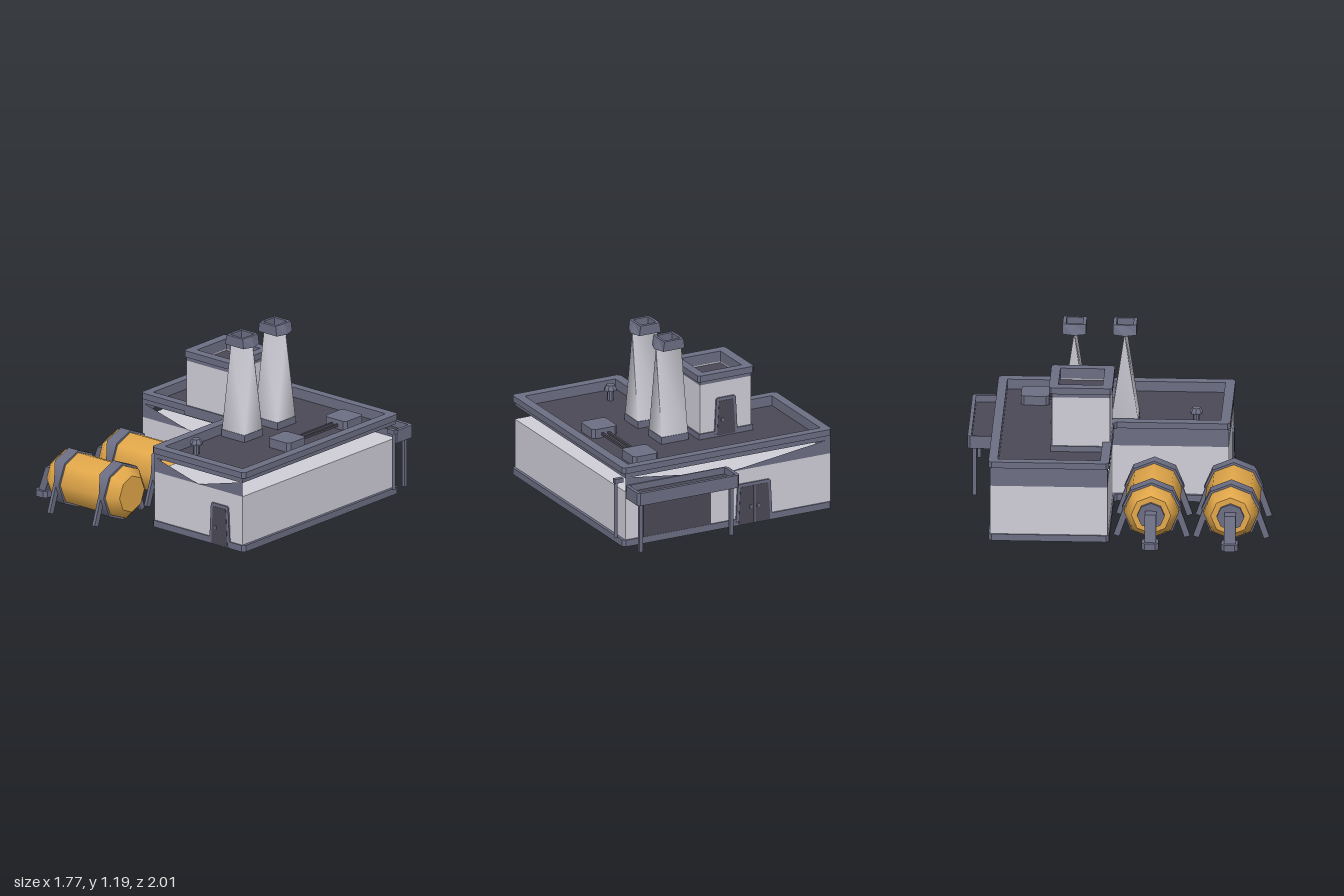
import * as THREE from 'three';

const mat = (name, color) => {
  const m = new THREE.MeshStandardMaterial({ color });
  m.name = name;
  return m;
};

export function createModel() {
  const root = new THREE.Group();
  const wallMat = mat('light wall', 0xcfced8);
  const trimMat = mat('slate trim', 0x6c6e84);
  const darkMat = mat('dark roof', 0x4a4955);
  const tankMat = mat('tank yellow', 0xe3a84a);

  const add = (name, geo, material, parent = root) => {
    const m = new THREE.Mesh(geo, material);
    m.name = name;
    parent.add(m);
    return m;
  };
  const box = (name, x0, x1, y0, y1, z0, z1, material, parent = root) => {
    const m = add(name, new THREE.BoxGeometry(x1 - x0, y1 - y0, z1 - z0), material, parent);
    m.position.set((x0 + x1) / 2, (y0 + y1) / 2, (z0 + z1) / 2);
    return m;
  };
  // Cut each corner of an outline by distance c
  const chamfer = (pts, c) => pts.flatMap((p, i) => {
    const toward = (q) => {
      const d = Math.hypot(q[0] - p[0], q[1] - p[1]);
      return [p[0] + (q[0] - p[0]) * c / d, p[1] + (q[1] - p[1]) * c / d];
    };
    return [toward(pts.at(i - 1)), toward(pts[(i + 1) % pts.length])];
  });
  const vecs = (pts) => pts.map(([x, z]) => new THREE.Vector2(x, -z)).reverse();
  // Horizontal slab from an x,z outline, with an optional hole
  const slab = (name, pts, y0, y1, material, hole, parent = root) => {
    const s = new THREE.Shape(vecs(pts));
    if (hole) s.holes.push(new THREE.Path(vecs(hole)));
    const g = new THREE.ExtrudeGeometry(s, { depth: y1 - y0, bevelEnabled: false });
    g.rotateX(-Math.PI / 2).translate(0, y0, 0);
    return add(name, g, material, parent);
  };
  const rect = (x0, x1, z0, z1) => [[x0, z0], [x1, z0], [x1, z1], [x0, z1]];
  const ell = (x0, x1, x2, z0, z1, z2) => [[x0, z0], [x2, z0], [x2, z2], [x1, z2], [x1, z1], [x0, z1]];
  // Single-sided flat polygon
  const face = (name, ...p) => {
    const tris = [];
    for (let i = 1; i < p.length - 1; i++) tris.push(...p[0], ...p[i], ...p[i + 1]);
    const g = new THREE.BufferGeometry();
    g.setAttribute('position', new THREE.Float32BufferAttribute(tris, 3));
    g.computeVertexNormals();
    add(name, g, trimMat);
  };
  // Stack of equal-length rings joined with quads
  const loft = (rings, flat) => {
    const n = rings[0].length, idx = [];
    for (let r = 0; r < rings.length - 1; r++) for (let i = 0; i < n; i++) {
      const a = r * n + i, b = r * n + (i + 1) % n;
      idx.push(a, b, a + n, b, b + n, a + n);
    }
    let g = new THREE.BufferGeometry();
    g.setAttribute('position', new THREE.Float32BufferAttribute(rings.flat(2), 3));
    g.setIndex(idx);
    if (flat) g = g.toNonIndexed();
    g.computeVertexNormals();
    return g;
  };

  // L-shaped building with a sunken roof
  const outer = chamfer(ell(-0.7, 0.05, 0.85, -0.83, -0.04, 0.72), 0.02);
  const walls = ell(-0.69, 0.07, 0.83, -0.82, -0.05, 0.71);
  const inner = ell(-0.64, 0.115, 0.785, -0.77, -0.1, 0.655);
  slab('base', outer, 0, 0.045, trimMat);
  slab('walls', walls, 0.045, 0.38, wallMat);
  slab('parapet', walls, 0.475, 0.51, trimMat, inner);
  slab('roofSurface', inner, 0.475, 0.482, darkMat);
  slab('roofTrim', outer, 0.508, 0.55, trimMat, inner);

  // Partly open band between walls and roof
  const lo = 0.38, hi = 0.48;
  face('frontBandRight', [0.07, lo, 0.71], [0.45, lo, 0.71], [0.07, hi, 0.71]);
  face('frontBandLeft', [0.45, lo, 0.71], [0.83, lo, 0.71], [0.83, hi, 0.71]);
  face('wingBand', [-0.69, lo, -0.05], [-0.3, lo, -0.05], [-0.69, hi, -0.05]);
  face('courtBand', [0.07, lo, -0.05], [0.07, lo, 0.71], [0.07, hi, 0.71], [0.07, hi, -0.05]);
  face('backBandLeft', [0.83, lo, -0.82], [0.07, lo, -0.82], [0.83, hi, -0.82]);
  face('backBandRight', [0.07, lo, -0.82], [-0.69, lo, -0.82], [-0.69, hi, -0.82]);
  face('sideBand', [-0.69, lo, -0.82], [-0.69, lo, -0.05], [-0.69, hi, -0.05], [-0.69, hi, -0.82]);
  face('sideBandInner', [-0.69, lo, -0.43], [-0.69, lo, -0.82], [-0.69, hi, -0.82], [-0.69, hi, -0.43]);
  face('sideBandInnerCorner', [-0.69, lo, -0.05], [-0.69, hi, -0.43], [-0.69, hi, -0.05]);

  // Roof tower
  const well = rect(-0.26, 0.03, -0.39, -0.1);
  slab('towerSkirt', rect(-0.32, 0.08, -0.44, -0.04), 0.482, 0.52, trimMat);
  box('towerWalls', -0.31, 0.07, 0.482, 0.845, -0.43, -0.05, wallMat);
  slab('towerWallTop', rect(-0.31, 0.07, -0.43, -0.05), 0.845, 0.858, wallMat, well);
  slab('towerBand', rect(-0.31, 0.07, -0.43, -0.05), 0.858, 0.886, trimMat, well);
  slab('towerRoof', well, 0.845, 0.85, darkMat);
  slab('towerTrim', chamfer(rect(-0.325, 0.09, -0.45, -0.035), 0.015), 0.886, 0.93, trimMat, well);

  // Doors with tapered frames
  const door = (name, x, y, z, w, h, back, leaves = 1) => {
    const g = new THREE.Group();
    g.name = name;
    const plate = (part, width, height, cut, z0, depth, material) => {
      const t = width / 2 - 0.014;
      const s = new THREE.Shape(chamfer([[-width / 2, 0], [width / 2, 0], [t, height], [-t, height]], cut)
        .map(([a, b]) => new THREE.Vector2(a, b)));
      const geo = new THREE.ExtrudeGeometry(s, { depth, bevelEnabled: false });
      add(part, geo.translate(0, 0, z0), material, g);
    };
    plate('doorFrame', w, h, 0.01, 0, 0.011, trimMat);
    plate('doorPanel', w - 0.036, h - 0.022, 0.006, 0.008, 0.005, darkMat);
    if (leaves > 1) box('doorSeam', -0.006, 0.006, 0, h - 0.022, 0.011, 0.015, trimMat, g);
    for (let i = 0; i < leaves; i++) {
      const k = leaves > 1 ? (i ? 0.028 : -0.028) : -w / 2 + 0.055;
      box('doorHandle', k - 0.009, k + 0.009, h * 0.37, h * 0.37 + 0.022, 0.012, 0.018, trimMat, g);
    }
    g.position.set(x, y, z);
    if (back) g.rotation.y = Math.PI;
    root.add(g);
  };
  door('frontDoor', 0.64, 0.005, 0.71, 0.175, 0.28, false);
  door('backDoubleDoor', -0.12, 0.005, -0.82, 0.27, 0.28, true, 2);
  door('towerDoor', -0.12, 0.49, -0.43, 0.17, 0.26, true);
  box('garageDoor', 0.2, 0.7, 0.045, 0.31, -0.828, -0.82, darkMat);

  // Back porch with a sunken top
  const porch = chamfer(rect(0.075, 0.83, -1, -0.82), 0.015);
  slab('porchRoof', porch, 0.338, 0.375, trimMat);
  slab('porchRim', porch, 0.375, 0.425, trimMat, rect(0.1, 0.805, -0.975, -0.83));
  box('porchSurface', 0.1, 0.805, 0.374, 0.38, -0.975, -0.83, darkMat);
  for (const x of [0.12, 0.79]) box('porchLeg', x - 0.012, x + 0.012, 0, 0.34, -0.967, -0.943, trimMat);

  // Drainpipe
  add('drainPipe', new THREE.CylinderGeometry(0.012, 0.012, 0.41, 8), trimMat).position.set(0.868, 0.255, -0.757);
  box('drainElbow', 0.82, 0.882, 0.43, 0.46, -0.776, -0.745, trimMat);

  // Roof units, connecting pipes and small vent
  for (const [a, b] of [[-0.67, -0.485], [-0.1, 0.08]])
    slab('roofUnit', chamfer(rect(0.5, 0.685, a, b), 0.02), 0.48, 0.545, trimMat);
  for (const x of [0.57, 0.615]) box('roofPipe', x - 0.008, x + 0.008, 0.5, 0.516, -0.49, -0.09, darkMat);
  const ventProfile = [[0.022, 0.48], [0.022, 0.545], [0.042, 0.55], [0.042, 0.565], [0.028, 0.588], [0, 0.588]];
  const vent = new THREE.LatheGeometry(ventProfile.map(([r, y]) => new THREE.Vector2(r, y)), 8).toNonIndexed();
  vent.computeVertexNormals();
  add('roofVent', vent, trimMat).position.set(0.24, 0, 0.49);

  // Wedge chimneys with flared caps
  const quad = (hx, hz, y) => [[-hx, y, hz], [hx, y, hz], [hx, y, -hz], [-hx, y, -hz]];
  const hex = (hx, hz, tip, y) => [[-hx, y, hz], [hx, y, hz], [tip, y, 0], [hx, y, -hz], [-hx, y, -hz], [-tip, y, 0]];
  for (const z of [0.025, -0.305]) {
    const g = new THREE.Group();
    g.name = 'chimney';
    g.position.set(0.235, 0, z);
    root.add(g);
    box('chimneyBase', -0.1, 0.1, 0.48, 0.53, -0.092, 0.092, trimMat, g);
    add('chimneyShaft', loft([quad(0.097, 0.089, 0.528), quad(0.092, 0.003, 1.12)]), wallMat, g);
    add('chimneyCap', loft([hex(0.04, 0.04, 0.04, 1.12), hex(0.08, 0.077, 0.105, 1.12), hex(0.07, 0.077, 0.075, 1.187),
      hex(0.055, 0.055, 0.055, 1.187), hex(0.055, 0.055, 0.055, 1.127)], true), trimMat, g);
    box('chimneyOpening', -0.055, 0.055, 1.122, 1.128, -0.055, 0.055, darkMat, g);
  }

  // Horizontal storage tanks
  const drum = (name, x0, x1, r, material, parent) => {
    const g = new THREE.CylinderGeometry(r, r, x1 - x0, 8).rotateZ(-Math.PI / 2);
    add(name, g, material, parent).position.set((x0 + x1) / 2, 0.2, 0);
    return g;
  };
  const tankProfile = [[0.13, -0.71], [0.18, -0.655], [0.18, -0.135], [0.125, -0.085]];
  for (const z of [0.235, 0.755]) {
    const g = new THREE.Group();
    g.name = 'storageTank';
    g.position.z = z;
    root.add(g);
    const body = new THREE.LatheGeometry(tankProfile.map(([r, x]) => new THREE.Vector2(r, x)), 8);
    add('tankBody', body.rotateZ(-Math.PI / 2), tankMat, g).position.y = 0.2;
    drum('tankOuterEnd', -0.71, -0.7, 0.13, tankMat, g);
    drum('tankInnerEnd', -0.095, -0.085, 0.125, tankMat, g);
    drum('nozzlePlate', -0.73, -0.705, 0.09, trimMat, g);
    for (const x of [-0.59, -0.203]) {
      // Straps narrow on their outer edge where the legs meet them
      const strap = drum('strap', x - 0.042, x + 0.042, 0.196, trimMat, g);
      const p = strap.attributes.position;
      for (let i = 0; i < p.count; i++)
        if (Math.abs(p.getY(i)) < 0.01 && Math.abs(p.getZ(i)) > 0.1 && p.getX(i) < 0) p.setX(i, 0);
      for (const s of [-1, 1]) {
        const leg = box('tankLeg', x - 0.011, x + 0.011, 0, 0.21, -0.02, 0.02, trimMat, g);
        leg.position.set(x, 0.11, s * 0.198);
        leg.rotation.x = -s * 0.33;
      }
    }
    // Feed pipe bent down to its foot
    const arm = new THREE.Shape([[-0.72, 0.235], [-0.8, 0.235], [-0.865, 0.05], [-0.81, 0.05], [-0.765, 0.17], [-0.72, 0.17]]
      .map(([a, b]) => new THREE.Vector2(a, b)));
    add('feedPipe', new THREE.ExtrudeGeometry(arm, { depth: 0.075, bevelEnabled: false }).translate(0, 0, -0.0375), trimMat, g);
    slab('pipeFoot', chamfer(rect(-0.885, -0.785, -0.055, 0.055), 0.02), 0.02, 0.065, trimMat, undefined, g);
  }
  return root;
}
